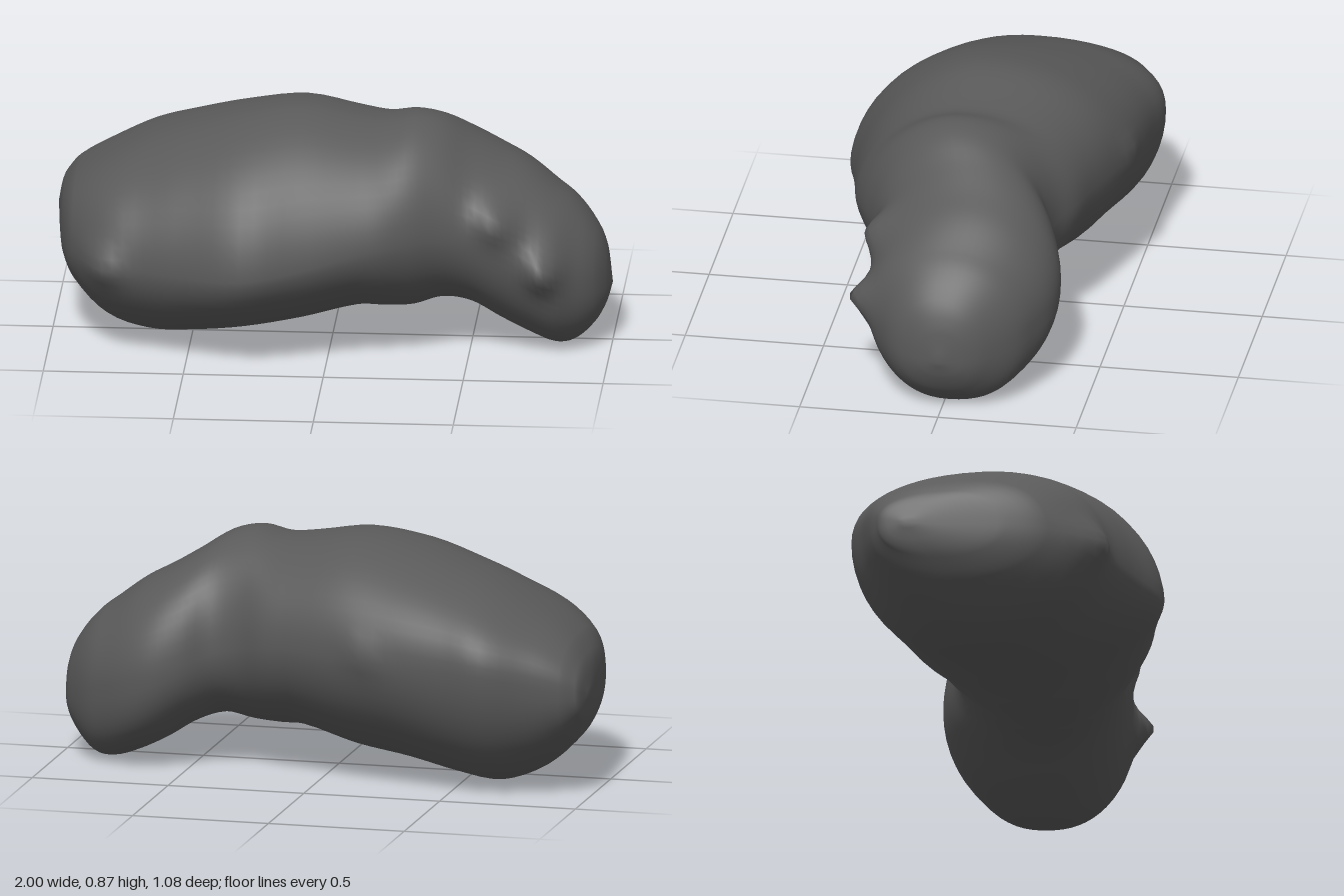
import * as THREE from 'three';

// Cross-sections along the length: x, top y, bottom y, back z, front z, widest y at back, widest y at front
const SECTIONS = [
  [-1.0, 0.38, 0.38, -0.30, -0.30, 0.38, 0.38],
  [-0.985, 0.46, 0.30, -0.385, -0.12, 0.39, 0.37],
  [-0.965, 0.51, 0.25, -0.41, 0.06, 0.40, 0.37],
  [-0.92, 0.57, 0.18, -0.44, 0.20, 0.41, 0.36],
  [-0.8, 0.65, 0.07, -0.485, 0.35, 0.44, 0.35],
  [-0.65, 0.725, 0.01, -0.54, 0.41, 0.47, 0.35],
  [-0.5, 0.78, 0.02, -0.525, 0.465, 0.48, 0.35],
  [-0.3, 0.84, 0.055, -0.505, 0.535, 0.49, 0.36],
  [-0.1, 0.87, 0.09, -0.465, 0.495, 0.50, 0.39],
  [0.1, 0.84, 0.145, -0.40, 0.455, 0.50, 0.44],
  [0.2, 0.83, 0.145, -0.365, 0.435, 0.49, 0.46],
  [0.3, 0.85, 0.15, -0.31, 0.395, 0.47, 0.47],
  [0.4, 0.83, 0.175, -0.30, 0.345, 0.44, 0.47],
  [0.5, 0.77, 0.15, -0.35, 0.31, 0.40, 0.45],
  [0.6, 0.71, 0.09, -0.375, 0.30, 0.37, 0.42],
  [0.7, 0.655, 0.04, -0.36, 0.295, 0.34, 0.37],
  [0.8, 0.58, 0.005, -0.31, 0.285, 0.31, 0.32],
  [0.87, 0.525, 0.015, -0.26, 0.235, 0.28, 0.28],
  [0.94, 0.44, 0.08, -0.175, 0.17, 0.25, 0.25],
  [0.98, 0.35, 0.15, -0.10, 0.09, 0.23, 0.23],
  [1.0, 0.22, 0.22, 0, 0, 0.22, 0.22],
];

// Roundness of each quarter: x, top back, top front, bottom back, bottom front (below 1 is boxy, above 1 pointed)
const ROUNDNESS = [
  [-1.0, 0.75, 0.85, 0.85, 0.9],
  [-0.6, 0.88, 1.0, 1.0, 1.1],
  [-0.2, 0.92, 1.12, 1.08, 1.15],
  [0.25, 0.92, 1.08, 1.05, 1.1],
  [0.7, 1.0, 1.0, 0.8, 0.98],
  [1.0, 0.9, 0.9, 0.85, 0.9],
];

// Small knobs: x, y, side of z, height, radius
const BUMPS = [
  [0.60, 0.53, 1, 0.06, 0.07],
  [0.76, 0.34, 1, 0.07, 0.06],
  [-0.81, 0.35, 1, 0.05, 0.07],
  [-0.2, 0.52, -1, 0.02, 0.06],
];

const SIDES = 56, STEPS = 4;

// Smooth interpolation of one column between neighbouring sections
function sample(t, col) {
  const i = Math.min(Math.floor(t), SECTIONS.length - 2), f = t - i;
  const at = k => SECTIONS[Math.max(0, Math.min(SECTIONS.length - 1, k))];
  const [a, b, c, d] = [at(i - 1), at(i), at(i + 1), at(i + 2)];
  const h = c[0] - b[0];
  const m0 = (c[col] - a[col]) / (c[0] - a[0]) * h;
  const m1 = (d[col] - b[col]) / (d[0] - b[0]) * h;
  const f2 = f * f, f3 = f2 * f;
  return (2 * f3 - 3 * f2 + 1) * b[col] + (f3 - 2 * f2 + f) * m0
    + (3 * f2 - 2 * f3) * c[col] + (f3 - f2) * m1;
}

// Roundness of a quarter at x, eased between rows
function roundness(x, col) {
  const i = Math.max(1, ROUNDNESS.findIndex(row => row[0] >= x));
  const a = ROUNDNESS[i - 1], b = ROUNDNESS[i];
  return THREE.MathUtils.lerp(a[col], b[col], THREE.MathUtils.smoothstep(x, a[0], b[0]));
}

const power = (v, e) => Math.sign(v) * Math.pow(Math.abs(v), e);

function bodyGeometry() {
  const positions = [], indices = [];
  const rings = (SECTIONS.length - 1) * STEPS;
  for (let r = 0; r <= rings; r++) {
    const t = r / STEPS, k = Math.min(Math.floor(t), SECTIONS.length - 2);
    const x = THREE.MathUtils.lerp(SECTIONS[k][0], SECTIONS[k + 1][0], t - k);
    const [top, bottom, back, front, midBack, midFront] = [1, 2, 3, 4, 5, 6].map(c => sample(t, c));
    const zc = (back + front) / 2, zr = (front - back) / 2;
    for (let s = 0; s < SIDES; s++) {
      const angle = s / SIDES * Math.PI * 2;
      const c = Math.cos(angle), n = Math.sin(angle);
      const e = roundness(x, (n > 0 ? 1 : 3) + (c > 0 ? 1 : 0));
      const cz = power(c, e), sy = power(n, e);
      const mid = THREE.MathUtils.lerp(midBack, midFront, (cz + 1) / 2);
      const y = mid + sy * (sy > 0 ? top - mid : mid - bottom);
      let z = zc + cz * zr;
      for (const [bx, by, side, height, radius] of BUMPS) {
        if (cz * side <= 0) continue;
        const d2 = (x - bx) ** 2 + (y - by) ** 2;
        z += side * height * Math.exp(-d2 / (radius * radius)) * Math.abs(cz);
      }
      positions.push(x, y, z);
    }
  }
  for (let r = 0; r < rings; r++) {
    for (let s = 0; s < SIDES; s++) {
      const a = r * SIDES + s, b = r * SIDES + (s + 1) % SIDES;
      indices.push(a, a + SIDES, b, b, a + SIDES, b + SIDES);
    }
  }
  const geometry = new THREE.BufferGeometry();
  geometry.setAttribute('position', new THREE.Float32BufferAttribute(positions, 3));
  geometry.setIndex(indices);
  geometry.computeVertexNormals();
  // The two end points face straight outward
  const normals = geometry.attributes.normal;
  for (let s = 0; s < SIDES; s++) {
    normals.setXYZ(s, -1, 0, 0);
    normals.setXYZ(rings * SIDES + s, 1, 0, 0);
  }
  return geometry;
}

export function createModel() {
  const group = new THREE.Group();
  group.name = 'asteroid';
  const rock = new THREE.MeshStandardMaterial({ color: 0x5a5a5a });
  rock.name = 'dark grey rock';
  const body = new THREE.Mesh(bodyGeometry(), rock);
  body.name = 'rockBody';
  group.add(body);
  return group;
}
